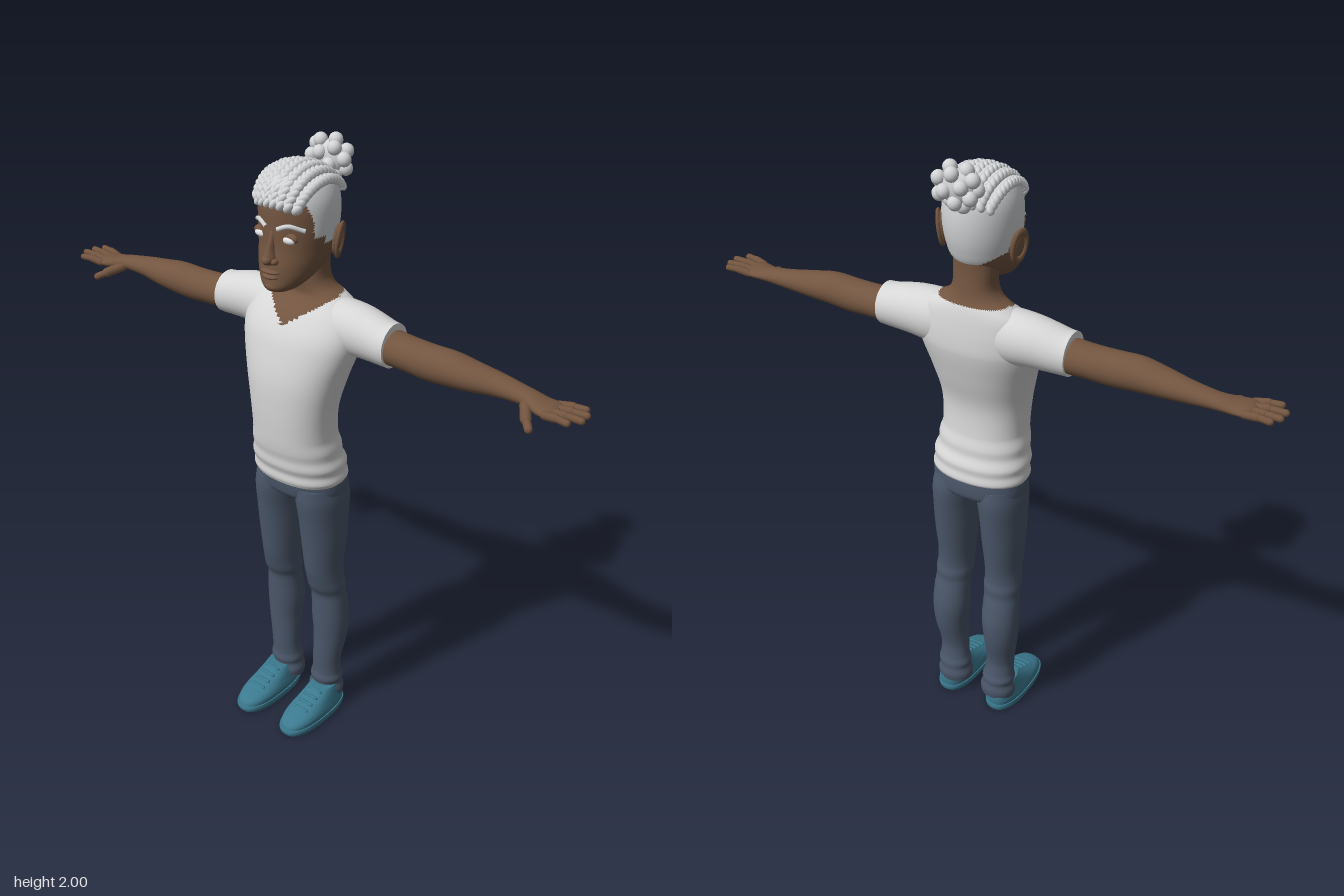
import * as THREE from 'three';
import { mergeGeometries } from 'three/addons/utils/BufferGeometryUtils.js';

const flat = (name, color) => Object.assign(new THREE.MeshStandardMaterial({ color }), { name });

// Smooth closed skin through rows [y, centreX, centreZ, radiusX, radiusZ], rising in y
function loft(rows, n = 32, steps = 5, p = 2) {
  const rings = [];
  const slope = (i, k) => {
    const a = rows[Math.max(i - 1, 0)], b = rows[Math.min(i + 1, rows.length - 1)];
    return (b[k] - a[k]) / (b[0] - a[0]);
  };
  for (let i = 0; i < rows.length - 1; i++) {
    const a = rows[i], b = rows[i + 1], h = b[0] - a[0];
    for (let s = 0; s < steps; s++) {
      const t = s / steps, t2 = t * t, t3 = t2 * t;
      rings.push(a.map((v, k) => k === 0 ? v + h * t :
        (2 * t3 - 3 * t2 + 1) * v + (t3 - 2 * t2 + t) * h * slope(i, k) +
        (3 * t2 - 2 * t3) * b[k] + (t3 - t2) * h * slope(i + 1, k)));
    }
  }
  rings.push(rows[rows.length - 1]);
  const pos = [], idx = [];
  const bend = v => Math.sign(v) * Math.abs(v) ** (2 / p);
  const ring = ([y, cx, cz, rx, rz]) => {
    for (let j = 0; j < n; j++) {
      const a = j / n * Math.PI * 2;
      pos.push(cx + rx * bend(Math.cos(a)), y, cz + rz * bend(Math.sin(a)));
    }
  };
  rings.forEach(ring);
  for (let r = 0; r < rings.length - 1; r++) for (let j = 0; j < n; j++) {
    const k = (j + 1) % n, a = r * n + j, b = r * n + k;
    idx.push(a, a + n, b, b, a + n, b + n);
  }
  // End caps with their own vertices
  [rings[0], rings[rings.length - 1]].forEach((e, top) => {
    const base = pos.length / 3;
    ring(e);
    pos.push(e[1], e[0], e[2]);
    for (let j = 0; j < n; j++) {
      const a = base + j, b = base + (j + 1) % n;
      top ? idx.push(a, base + n, b) : idx.push(a, b, base + n);
    }
  });
  const g = new THREE.BufferGeometry();
  g.setAttribute('position', new THREE.Float32BufferAttribute(pos, 3));
  g.setIndex(idx);
  g.computeVertexNormals();
  return g;
}

// Rows [x, centreY, centreZ, radiusY, radiusZ] running out along x
const loftX = (rows, ...o) =>
  loft(rows.map(([x, cy, ...r]) => [x, -cy, ...r]), ...o).rotateZ(-Math.PI / 2);
// Rows [y, halfWidth, frontZ, backZ]
const body = rows => rows.map(([y, w, f, b]) => [y, 0, (f + b) / 2, w, (f - b) / 2]);

const blob = (x, y, z, sx, sy, sz, n = 20) =>
  new THREE.SphereGeometry(1, n, Math.round(n * 0.7)).scale(sx, sy, sz).translate(x, y, z);

function bone(a, b, r) {
  const A = new THREE.Vector3(...a), B = new THREE.Vector3(...b), d = B.clone().sub(A);
  const q = new THREE.Quaternion().setFromUnitVectors(new THREE.Vector3(0, 1, 0), d.clone().normalize());
  const m = A.add(B).multiplyScalar(0.5);
  return new THREE.CapsuleGeometry(r, d.length(), 4, 10).applyQuaternion(q).translate(m.x, m.y, m.z);
}

function mirrored(geo) {
  const g = geo.clone().scale(-1, 1, 1), i = g.index.array;
  for (let k = 0; k < i.length; k += 3) [i[k], i[k + 1]] = [i[k + 1], i[k]];
  return g;
}

// Divides a surface in two by a test on each face's centre
function split(geo, test) {
  const parts = [[], []], p = geo.attributes.position, i = geo.index.array;
  for (let k = 0; k < i.length; k += 3) {
    const f = [i[k], i[k + 1], i[k + 2]];
    const mid = c => (p[c](f[0]) + p[c](f[1]) + p[c](f[2])) / 3;
    parts[test(mid('getX'), mid('getY'), mid('getZ')) ? 1 : 0].push(...f);
  }
  return parts.map(ix => { const g = geo.clone(); g.setIndex(ix); return g; });
}

export function createModel() {
  const model = new THREE.Group();
  model.name = 'standingMan';
  const skin = flat('brownSkin', 0x735540), white = flat('shirtWhite', 0xd6d6d6);
  const hair = flat('silverHair', 0xd2d4d6), denim = flat('denim', 0x4b576a);
  const teal = flat('shoeTeal', 0x3c7a90), eyeWhite = flat('eyeWhite', 0xe6e6e6);

  const add = (name, mat, ...geos) => {
    geos.forEach(g => g.deleteAttribute('uv'));
    const mesh = new THREE.Mesh(geos.length > 1 ? mergeGeometries(geos) : geos[0], mat);
    mesh.name = name;
    model.add(mesh);
    return mesh;
  };
  const pair = (name, mat, ...geos) => {
    const left = add('left' + name, mat, ...geos);
    add('right' + name, mat, mirrored(left.geometry));
  };

  // Torso: shirt with a V neckline, running on into the neck
  const torso = loft(body([
    [0.935, 0.155, 0.097, -0.12], [0.95, 0.162, 0.103, -0.127], [0.975, 0.157, 0.103, -0.122],
    [1.0, 0.16, 0.112, -0.122], [1.03, 0.15, 0.114, -0.108], [1.06, 0.149, 0.121, -0.105],
    [1.1, 0.14, 0.126, -0.094], [1.2, 0.146, 0.131, -0.09], [1.3, 0.168, 0.128, -0.115],
    [1.4, 0.197, 0.107, -0.138], [1.45, 0.2, 0.088, -0.138], [1.5, 0.185, 0.055, -0.132],
    [1.53, 0.16, 0.027, -0.126], [1.55, 0.125, 0.012, -0.12], [1.57, 0.088, 0.012, -0.111],
    [1.6, 0.069, 0.015, -0.105], [1.65, 0.067, 0.012, -0.1], [1.7, 0.066, 0.01, -0.1]]), 96, 6, 2.25);
  const [shirt, neck] = split(torso, (x, y, z) => y > (z > -0.045 ? 1.465 + 0.72 * Math.abs(x) : 1.555));
  add('shirt', white, shirt);
  add('neck', skin, neck);
  pair('Sleeve', white, loftX([
    [0.06, 1.46, -0.045, 0.085, 0.07], [0.13, 1.462, -0.047, 0.086, 0.078],
    [0.2, 1.464, -0.047, 0.08, 0.076], [0.25, 1.46, -0.045, 0.075, 0.071],
    [0.3, 1.454, -0.042, 0.069, 0.067], [0.322, 1.453, -0.041, 0.068, 0.065]], 40));

  // Arms, palms, fingers and thumbs
  pair('Arm', skin, loftX([
    [0.28, 1.449, -0.043, 0.054, 0.058], [0.38, 1.445, -0.04, 0.051, 0.056],
    [0.45, 1.443, -0.037, 0.053, 0.054], [0.53, 1.446, -0.035, 0.051, 0.054],
    [0.6, 1.443, -0.038, 0.043, 0.049], [0.68, 1.44, -0.044, 0.033, 0.039],
    [0.75, 1.436, -0.043, 0.025, 0.034], [0.78, 1.434, -0.04, 0.022, 0.036],
    [0.82, 1.43, -0.03, 0.019, 0.045], [0.855, 1.43, -0.026, 0.016, 0.049],
    [0.87, 1.43, -0.026, 0.01, 0.045]]));
  const fingers = [[-0.064, -0.074, 0.925], [-0.038, -0.045, 0.943], [-0.012, -0.01, 0.946], [0.013, 0.025, 0.922]];
  pair('Fingers', skin,
    ...fingers.flatMap(([z0, z1, tip]) => {
      const mid = [(0.85 + tip) / 2, 1.436, (z0 + z1) / 2];
      return [bone([0.85, 1.43, z0], mid, 0.0125), bone(mid, [tip, 1.436, z1], 0.0105)];
    }),
    bone([0.775, 1.425, -0.015], [0.805, 1.41, 0.03], 0.016),
    bone([0.805, 1.41, 0.03], [0.828, 1.397, 0.053], 0.012));

  // Head: face and close-cropped sides share one skull
  const skull = loft([
    [1.588, 0, 0.085, 0.03, 0.03], [1.6, 0, 0.076, 0.052, 0.058], [1.63, 0, 0.05, 0.079, 0.085],
    [1.67, 0, 0.02, 0.098, 0.112], [1.72, 0, 0.004, 0.108, 0.12], [1.78, 0, -0.003, 0.115, 0.125],
    [1.84, 0, -0.004, 0.114, 0.124], [1.88, 0, -0.005, 0.103, 0.114], [1.91, 0, -0.005, 0.083, 0.094],
    [1.925, 0, -0.005, 0.055, 0.065], [1.931, 0, -0.005, 0.02, 0.025]], 96, 8);
  const hairline = (x, z) => z > 0.075 ? 1.855 : z > 0.055 ? 1.8 + (z - 0.055) * 2.7 :
    z > 0.015 ? 1.755 : z > -0.035 ? 1.73 : 1.66 + 0.55 * Math.abs(x);
  const [face, crop] = split(skull, (x, y, z) => y > hairline(x, z));
  add('face', skin, face);
  add('croppedHair', hair, crop);

  // Nose, lips and chin
  add('nose', skin,
    loft([[1.675, 0, 0.12, 0.016, 0.02], [1.69, 0, 0.125, 0.02, 0.027], [1.72, 0, 0.118, 0.013, 0.024],
      [1.76, 0, 0.112, 0.011, 0.015], [1.785, 0, 0.108, 0.012, 0.011]], 20),
    blob(0, 1.69, 0.143, 0.015, 0.013, 0.015),
    blob(0.018, 1.686, 0.129, 0.011, 0.01, 0.014), blob(-0.018, 1.686, 0.129, 0.011, 0.01, 0.014));
  add('lips', skin, blob(0, 1.654, 0.126, 0.034, 0.008, 0.02), blob(0, 1.638, 0.124, 0.03, 0.009, 0.021));
  add('chin', skin, blob(0, 1.608, 0.113, 0.032, 0.02, 0.026));

  // Eyes, lids, brows and ears
  pair('Eyelids', skin, blob(0.05, 1.757, 0.102, 0.03, 0.017, 0.012));
  pair('Eye', eyeWhite, blob(0.05, 1.752, 0.105, 0.024, 0.013, 0.013));
  const browLine = new THREE.CatmullRomCurve3([[0.02, 1.781, 0.121], [0.052, 1.793, 0.11], [0.088, 1.779, 0.079]]
    .map(p => new THREE.Vector3(...p)));
  pair('Brow', hair, new THREE.TubeGeometry(browLine, 14, 0.007, 8));
  const place = g => g.rotateY(0.35).rotateZ(-0.15).translate(0.124, 1.737, -0.022);
  pair('Ear', skin, place(blob(0, 0, 0, 0.012, 0.05, 0.027)),
    place(new THREE.TorusGeometry(0.024, 0.007, 8, 28).rotateY(Math.PI / 2).scale(1, 1.9, 1).translate(0.008, 0, 0)));

  // Braids running from the forehead back to the bun
  const strands = [], o = new THREE.Object3D();
  const braidPoint = (i, a) => {
    const x = i * 0.029 * (0.72 + 0.28 * Math.sin(a)), k = Math.sqrt(1 - (x / 0.14) ** 2);
    return new THREE.Vector3(x, 1.8 + 0.136 * k * Math.sin(a), -0.005 + 0.128 * k * Math.cos(a));
  };
  for (let i = -3; i <= 3; i++) for (let s = 0; s < 15; s++) for (const side of [-1, 1]) {
    const a = 0.44 + (s + side * 0.25) * 0.152;
    o.position.copy(braidPoint(i, a));
    o.lookAt(braidPoint(i, a + 0.05));
    o.rotateY(side * 0.55);
    o.translateX(side * 0.006);
    o.updateMatrix();
    strands.push(new THREE.SphereGeometry(1, 10, 7).scale(0.011, 0.015, 0.019).applyMatrix4(o.matrix));
  }
  add('braids', hair, ...strands);

  // Bun of coiled knots at the back of the crown
  const knots = [blob(0, 1.925, -0.14, 0.06, 0.05, 0.032)];
  for (let i = 0; i < 18; i++) {
    const v = 1 - 2 * (i + 0.5) / 18, r = Math.sqrt(1 - v * v), a = i * 2.4;
    knots.push(blob(0.063 * r * Math.cos(a), 1.925 + 0.055 * v, -0.142 + 0.03 * r * Math.sin(a), 0.022, 0.022, 0.021, 14));
  }
  add('bun', hair, ...knots);

  // Jeans
  add('jeansHips', denim, loft(body([
    [0.865, 0.125, 0.055, -0.1], [0.88, 0.147, 0.077, -0.118], [0.9, 0.158, 0.086, -0.125],
    [0.95, 0.154, 0.093, -0.124], [0.99, 0.148, 0.095, -0.115]]), 48, 5, 2.3));
  pair('JeansLeg', denim, loft([
    [0.05, 0.087, -0.048, 0.06, 0.053], [0.075, 0.087, -0.048, 0.062, 0.056], [0.1, 0.087, -0.049, 0.054, 0.05],
    [0.12, 0.089, -0.047, 0.058, 0.052], [0.145, 0.09, -0.045, 0.052, 0.046], [0.2, 0.092, -0.042, 0.05, 0.045],
    [0.3, 0.098, -0.052, 0.058, 0.057], [0.38, 0.097, -0.053, 0.064, 0.062], [0.45, 0.096, -0.047, 0.062, 0.058],
    [0.49, 0.094, -0.041, 0.06, 0.055], [0.52, 0.093, -0.034, 0.063, 0.062], [0.55, 0.092, -0.027, 0.061, 0.064],
    [0.6, 0.09, -0.022, 0.061, 0.071], [0.7, 0.089, -0.022, 0.069, 0.083], [0.8, 0.087, -0.021, 0.073, 0.095],
    [0.87, 0.083, -0.019, 0.077, 0.103], [0.92, 0.078, -0.016, 0.074, 0.1]], 40));

  // Shoes with soles and laces
  const shoe = (rows, steps) => loft(rows.map(([y, w, f, b]) => [y, 0.097, (f + b) / 2, w, (f - b) / 2]), 40, steps, 2.5);
  pair('ShoeSole', teal, shoe([[0, 0.061, 0.19, -0.1], [0.012, 0.064, 0.194, -0.103], [0.022, 0.063, 0.192, -0.102]], 3));
  pair('ShoeUpper', teal, shoe([[0.018, 0.059, 0.188, -0.098], [0.035, 0.061, 0.182, -0.1], [0.048, 0.058, 0.163, -0.1],
    [0.06, 0.054, 0.125, -0.098], [0.08, 0.048, 0.07, -0.096], [0.1, 0.042, 0.028, -0.093]], 5));
  pair('ShoeLaces', teal, ...[0, 1, 2, 3].map(i => {
    const y = 0.062 + i * 0.011, z = 0.108 - i * 0.026;
    return bone([0.072, y, z], [0.122, y, z], 0.006);
  }));

  return model;
}
